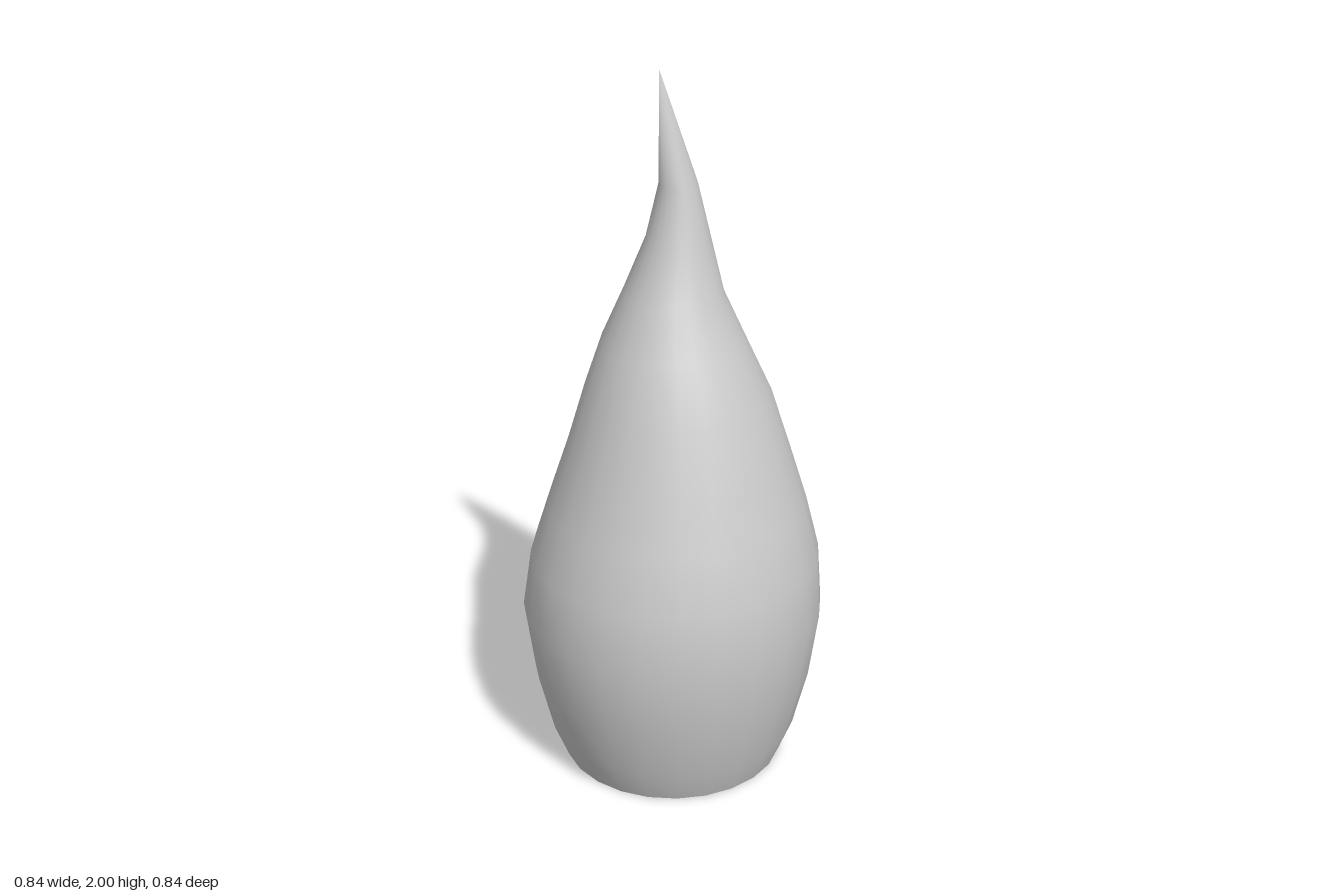
import * as THREE from 'three';
import { mergeVertices } from 'three/addons/utils/BufferGeometryUtils.js';

const SIDES = 24;

// Rings from base to tip: [height, radius, sideways shift]
const RINGS = [
  [0, 0.31, 0], [0.1, 0.35, 0], [0.27, 0.392, 0], [0.46, 0.418, 0],
  [0.63, 0.4, 0.007], [0.78, 0.358, 0.012], [0.94, 0.307, 0.014],
  [1.11, 0.255, 0.012], [1.26, 0.196, 0.003], [1.4, 0.134, 0.002],
  [1.55, 0.086, 0.015], [1.7, 0.051, 0.015], [2, 0, -0.033],
];

export function createModel() {
  const group = new THREE.Group();
  group.name = 'flame';
  const material = new THREE.MeshStandardMaterial({ color: 0xcccccc });

  // Flame body: a turned profile whose rings sway along x
  const profile = RINGS.map(([y, r]) => new THREE.Vector2(r, y));
  const lathe = new THREE.LatheGeometry(profile, SIDES);
  const position = lathe.attributes.position;
  for (let i = 0; i < position.count; i++) {
    position.setX(i, position.getX(i) + RINGS[i % RINGS.length][2]);
  }
  // Weld the seam and tip so the shading stays smooth
  lathe.deleteAttribute('uv');
  lathe.deleteAttribute('normal');
  const bodyGeometry = mergeVertices(lathe, 1e-4);
  bodyGeometry.computeVertexNormals();
  const body = new THREE.Mesh(bodyGeometry, material);
  body.name = 'flameBody';
  group.add(body);

  // Flat base facing down
  const base = new THREE.Mesh(new THREE.CircleGeometry(RINGS[0][1], SIDES), material);
  base.name = 'base';
  base.rotation.x = Math.PI / 2;
  group.add(base);

  return group;
}
